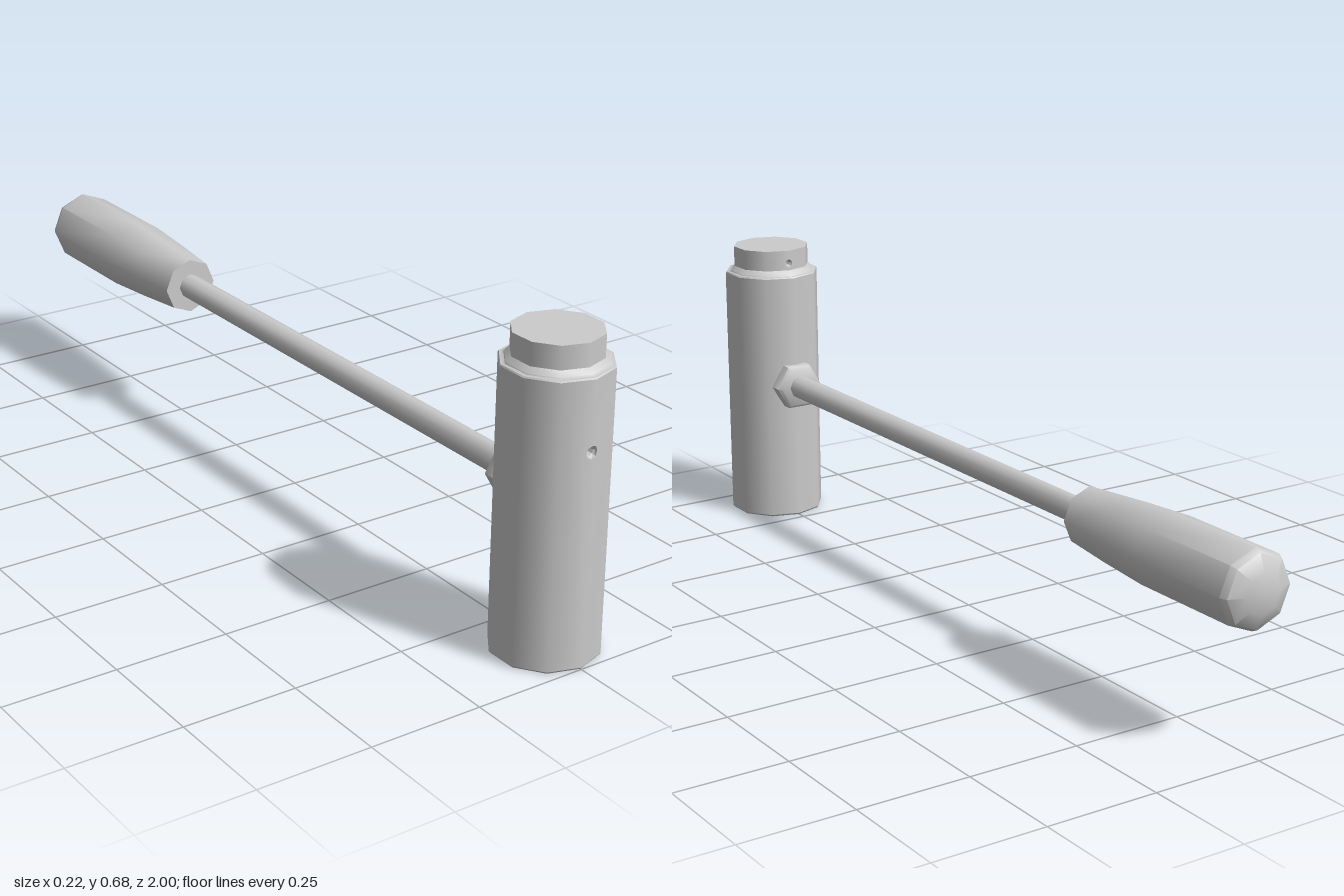
import * as THREE from 'three';
import { mergeGeometries, toCreasedNormals } from 'three/addons/utils/BufferGeometryUtils.js';

const HEAD_Z = 0.885, ARM_Y = 0.34, SIDES = 10;
const BODY_R = 0.115, NECK_R = 0.0925;
const material = new THREE.MeshStandardMaterial({ color: 0xcccccc });

function part(name, geometry, parent) {
  const mesh = new THREE.Mesh(geometry, material);
  mesh.name = name;
  parent.add(mesh);
  return mesh;
}

// Faceted turned part with softened sides and sharp rims
function turned(profile, sides, phi = 0) {
  const points = profile.map(([r, y]) => new THREE.Vector2(r, y));
  return toCreasedNormals(new THREE.LatheGeometry(points, sides, phi), 0.85);
}

// Ten-sided wall with round holes along its +z edge
function wall(radius, y0, y1, holes, holeR) {
  const w = 2 * radius * Math.sin(Math.PI / SIDES);
  const panels = [];
  for (const side of [1, -1]) {
    for (let k = 0; k < SIDES / 2; k++) {
      const s = new THREE.Shape();
      s.moveTo(0, y0);
      s.lineTo(w, y0);
      s.lineTo(w, y1);
      s.lineTo(0, y1);
      if (k === 0) for (const y of holes) s.absarc(0, y, holeR, Math.PI / 2, -Math.PI / 2, true);
      s.lineTo(0, y0);
      const g = new THREE.ShapeGeometry(s, 2);
      const p = g.attributes.position, n = g.attributes.normal;
      const a = (k * 2 * Math.PI) / SIDES, b = ((k + 1) * 2 * Math.PI) / SIDES;
      for (let i = 0; i < p.count; i++) {
        const t = p.getX(i) / w;
        const x = side * radius * THREE.MathUtils.lerp(Math.sin(a), Math.sin(b), t);
        const z = radius * THREE.MathUtils.lerp(Math.cos(a), Math.cos(b), t);
        const len = Math.hypot(x, z);
        p.setXYZ(i, x, p.getY(i), z);
        n.setXYZ(i, x / len, 0, z / len);
      }
      if (side < 0) g.index.array.reverse();
      panels.push(g);
    }
  }
  return mergeGeometries(panels);
}

// Sunken socket opening towards +y; its rim can follow a folded wall
function socket(r, fold) {
  const g = turned([[r, 0], [r * 0.98, -0.005], [r * 0.7, -0.009], [r * 0.65, -0.025], [0, -0.03]], 8);
  const p = g.attributes.position;
  for (let i = 0; i < p.count; i++) p.setY(i, p.getY(i) - fold * Math.abs(p.getX(i)));
  return g;
}

export function createModel() {
  const model = new THREE.Group();
  model.name = 'leverTool';

  // Upright head
  const head = new THREE.Group();
  head.name = 'head';
  head.position.z = HEAD_Z;
  model.add(head);

  const holeR = 0.014, pinR = 0.01, neckHoleY = 0.645;
  const bodyHoles = [0.217, 0.463];
  const fold = Math.tan(Math.PI / SIDES);
  part('bodyWall', wall(BODY_R, 0.004, 0.612, bodyHoles, holeR), head);
  part('base', turned([[0.012, 0], [0.112, 0], [BODY_R, 0.004]], SIDES), head);
  part('shoulder', turned([[BODY_R, 0.612], [0.113, 0.615], [0.104, 0.615], [0.103, 0.617], [NECK_R, 0.628]], SIDES), head);
  part('neckWall', wall(NECK_R, 0.628, 0.677, [neckHoleY], pinR), head).rotation.y = Math.PI;
  part('neckTop', turned([[NECK_R, 0.677], [0, 0.677]], SIDES), head);

  // Set screw sockets in the front, the back of the neck and the base
  for (const y of bodyHoles) {
    const screw = part('frontSocket', socket(holeR, fold), head);
    screw.rotation.x = Math.PI / 2;
    screw.position.set(0, y, BODY_R);
  }
  const neckSocket = part('neckSocket', socket(pinR, fold), head);
  neckSocket.rotation.x = -Math.PI / 2;
  neckSocket.position.set(0, neckHoleY, -NECK_R);
  part('baseSocket', socket(0.012, 0), head).rotation.x = Math.PI;

  // Lever arm pointing back; local y is the distance behind z = 0
  const lever = new THREE.Group();
  lever.name = 'lever';
  lever.rotation.x = -Math.PI / 2;
  lever.position.y = ARM_Y;
  model.add(lever);

  part('lockNut', turned([[0.052, -0.79], [0.06, -0.785], [0.06, -0.757], [0.052, -0.75], [0, -0.75]], 6, Math.PI / 2), lever);
  part('rod', turned([[0.029, -0.8], [0.029, 0.46]], 8), lever);
  part('grip', turned([
    [0, 0.447], [0.065, 0.447], [0.076, 0.57], [0.085, 0.70],
    [0.085, 0.965], [0.078, 0.98], [0.042, 0.995], [0, 1],
  ], 8), lever);

  return model;
}
